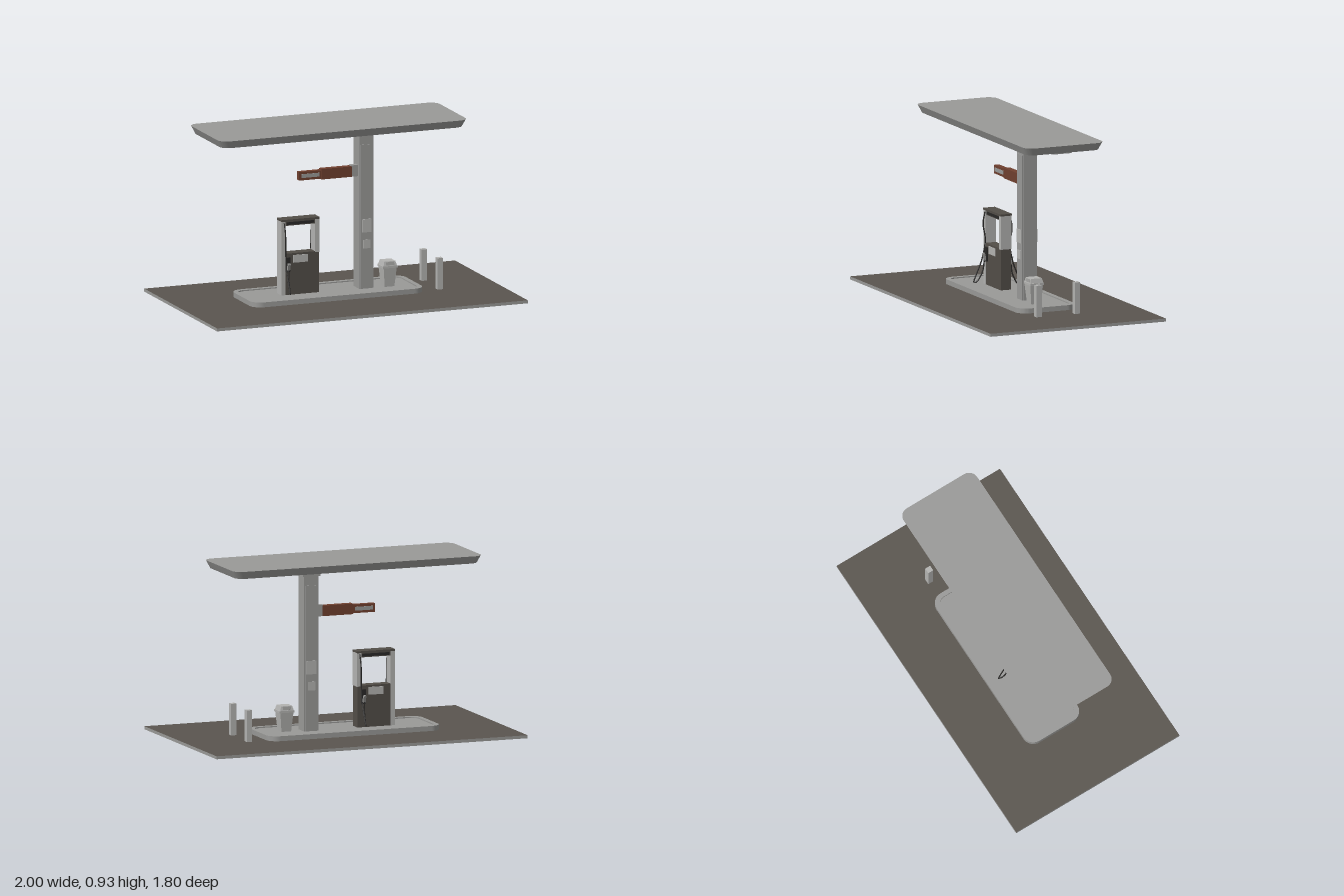
import * as THREE from 'three';
import { toCreasedNormals } from 'three/addons/utils/BufferGeometryUtils.js';

const mat = (name, color) => {
  const m = new THREE.MeshStandardMaterial({ color });
  m.name = name;
  return m;
};

export function createModel() {
  const asphalt = mat('asphalt', 0x5a554f);
  const concrete = mat('concrete grey', 0x9a9a98);
  const cabinetDark = mat('cabinet dark', 0x534e48);
  const signBrown = mat('sign brown', 0x70402f);
  const lightGrey = mat('light grey', 0xb4b4b2);
  const lamp = mat('lamp white', 0xe4e4e0);
  const black = mat('rubber black', 0x2a2928);

  const model = new THREE.Group();
  const station = new THREE.Group();
  station.name = 'station';
  station.rotation.y = THREE.MathUtils.degToRad(34);
  model.add(station);

  const add = (parent, name, geo, material, x = 0, y = 0, z = 0) => {
    const m = new THREE.Mesh(geo, material);
    m.name = name;
    m.position.set(x, y, z);
    parent.add(m);
    return m;
  };
  // box given by centre x, bottom, top, centre z, width and depth
  const box = (parent, name, material, x, y0, y1, z, w, d) =>
    add(parent, name, new THREE.BoxGeometry(w, y1 - y0, d), material, x, (y0 + y1) / 2, z);

  // rounded rectangle outline
  const outline = (Type, w, d, r, cx = 0, cy = 0) => {
    const s = new Type(), a = w / 2 - r, b = d / 2 - r;
    s.absarc(cx + a, cy + b, r, 0, Math.PI / 2);
    s.absarc(cx - a, cy + b, r, Math.PI / 2, Math.PI);
    s.absarc(cx - a, cy - b, r, Math.PI, Math.PI * 1.5);
    s.absarc(cx + a, cy - b, r, Math.PI * 1.5, Math.PI * 2);
    s.closePath();
    return s;
  };
  // lay an outline flat and give it a height
  const slab = (shape, height) =>
    new THREE.ExtrudeGeometry(shape, { depth: height, bevelEnabled: false, curveSegments: 6 }).rotateX(-Math.PI / 2);

  const CX = -0.035, CZ = -0.028;

  // Forecourt with an opening beneath the island
  const ground = new THREE.Shape([
    new THREE.Vector2(-0.868, -0.5), new THREE.Vector2(0.868, -0.5),
    new THREE.Vector2(0.868, 0.5), new THREE.Vector2(-0.868, 0.5)]);
  ground.holes.push(outline(THREE.Path, 0.96, 0.33, 0.06, CX, -CZ));
  add(station, 'forecourt', slab(ground, 0.016), [asphalt, concrete]);

  // Island: raised kerb around a slightly lower floor
  const kerb = outline(THREE.Shape, 0.96, 0.33, 0.06);
  kerb.holes.push(outline(THREE.Path, 0.91, 0.28, 0.04));
  add(station, 'islandKerb', toCreasedNormals(slab(kerb, 0.03), 0.5), concrete, CX, 0.012, CZ);
  add(station, 'islandFloor', slab(outline(THREE.Shape, 0.912, 0.282, 0.04), 0.024), concrete, CX, 0.012, CZ);

  // Canopy: the lower edge is drawn inward
  const roof = slab(outline(THREE.Shape, 1.385, 0.45, 0.05), 0.04);
  const p = roof.attributes.position;
  for (let i = 0; i < p.count; i++) {
    if (p.getY(i) < 0.01) p.setXYZ(i, p.getX(i) * 0.975, p.getY(i), p.getZ(i) * 0.925);
  }
  add(station, 'canopy', toCreasedNormals(roof, 0.5), concrete, CX + 0.004, 0.888, CZ + 0.002);
  box(station, 'canopyBeam', concrete, 0.033, 0.876, 0.89, CZ, 1.148, 0.11);
  for (const s of [-1, 1]) box(station, 'canopyLamp', lamp, -0.2, 0.881, 0.89, CZ + s * 0.13, 0.07, 0.06);

  // Column with cap, facing panels and small plates on both sides
  const column = new THREE.Group();
  column.name = 'column';
  column.position.set(0.167, 0, -0.031);
  station.add(column);
  box(column, 'columnShaft', concrete, 0, 0.03, 0.88, 0, 0.08, 0.078);
  box(column, 'columnCap', concrete, 0, 0.848, 0.877, 0, 0.096, 0.096);
  for (const s of [-1, 1]) {
    box(column, 'columnPanel', concrete, 0, 0.036, 0.8, s * 0.04, 0.066, 0.005);
    box(column, 'columnUpperPlate', lightGrey, 0, 0.335, 0.405, s * 0.044, 0.052, 0.006);
    box(column, 'columnLowerPlate', lightGrey, 0, 0.25, 0.295, s * 0.044, 0.04, 0.006);
  }

  // Hanging sign arm
  box(station, 'signBracket', concrete, 0.11, 0.63, 0.69, -0.028, 0.04, 0.03);
  box(station, 'signBody', signBrown, 0.008, 0.63, 0.685, -0.028, 0.17, 0.034);
  box(station, 'signEnd', signBrown, -0.138, 0.634, 0.679, -0.028, 0.125, 0.028);
  for (const s of [-1, 1]) {
    box(station, 'signPlate', concrete, -0.138, 0.647, 0.667, -0.028 + s * 0.015, 0.1, 0.004);
  }

  // Fuel dispenser with an open window
  const pump = new THREE.Group();
  pump.name = 'dispenser';
  pump.position.set(-0.198, 0, -0.032);
  station.add(pump);
  box(pump, 'cabinet', cabinetDark, 0.004, 0.034, 0.255, 0, 0.198, 0.058);
  box(pump, 'header', cabinetDark, 0, 0.402, 0.427, 0, 0.17, 0.052);
  box(pump, 'topCap', cabinetDark, 0, 0.426, 0.436, 0, 0.212, 0.066);
  box(pump, 'leftPost', lightGrey, 0.094, 0.25, 0.427, 0, 0.024, 0.06);
  box(pump, 'rightPost', lightGrey, -0.094, 0.034, 0.427, 0, 0.024, 0.06);

  // Equipment on each face, the rear being the front turned half round
  for (const turn of [0, Math.PI]) {
    const face = new THREE.Group();
    face.name = 'dispenserFace';
    face.rotation.y = turn;
    pump.add(face);
    box(face, 'headerStrip', black, 0, 0.407, 0.421, 0.027, 0.15, 0.004);
    box(face, 'display', lightGrey, 0, 0.205, 0.245, 0.031, 0.08, 0.006);
    box(face, 'nozzleHolder', black, -0.07, 0.16, 0.235, 0.032, 0.025, 0.012);
    const nozzle = box(face, 'nozzle', concrete, -0.07, 0.165, 0.205, 0.043, 0.014, 0.012);
    nozzle.rotation.x = 0.3;
    const path = new THREE.CatmullRomCurve3([
      [-0.09, 0.418, 0.03], [-0.088, 0.36, 0.042], [-0.083, 0.27, 0.032], [-0.085, 0.17, 0.05],
      [-0.085, 0.09, 0.083], [-0.083, 0.05, 0.098], [-0.078, 0.055, 0.082], [-0.072, 0.11, 0.052],
      [-0.07, 0.17, 0.043]].map(a => new THREE.Vector3(...a)));
    add(face, 'hose', new THREE.TubeGeometry(path, 40, 0.0035, 6), black);
  }

  // Waste bin: tapered square body, rim and sloping hood
  const bin = new THREE.Group();
  bin.name = 'wasteBin';
  bin.position.set(0.293, 0, -0.012);
  station.add(bin);
  const taper = (top, bottom, h) => {
    const g = new THREE.CylinderGeometry(top / Math.SQRT2, bottom / Math.SQRT2, h, 4);
    return toCreasedNormals(g.rotateY(Math.PI / 4), 0.4);
  };
  add(bin, 'binBody', taper(0.074, 0.054, 0.105), lightGrey, 0, 0.0885, 0);
  box(bin, 'binRim', lightGrey, 0, 0.136, 0.147, 0, 0.084, 0.076);
  add(bin, 'binHood', taper(0.062, 0.076, 0.025), lightGrey, 0, 0.1585, 0);
  for (const s of [-1, 1]) {
    const slot = box(bin, 'binOpening', concrete, 0, 0.151, 0.167, s * 0.0345, 0.045, 0.004);
    slot.rotation.x = -s * 0.27;
  }

  // Guard posts beyond the island
  for (const z of [-0.138, 0.08]) box(station, 'bollard', lightGrey, 0.544, 0.002, 0.182, z, 0.03, 0.03);

  return model;
}
